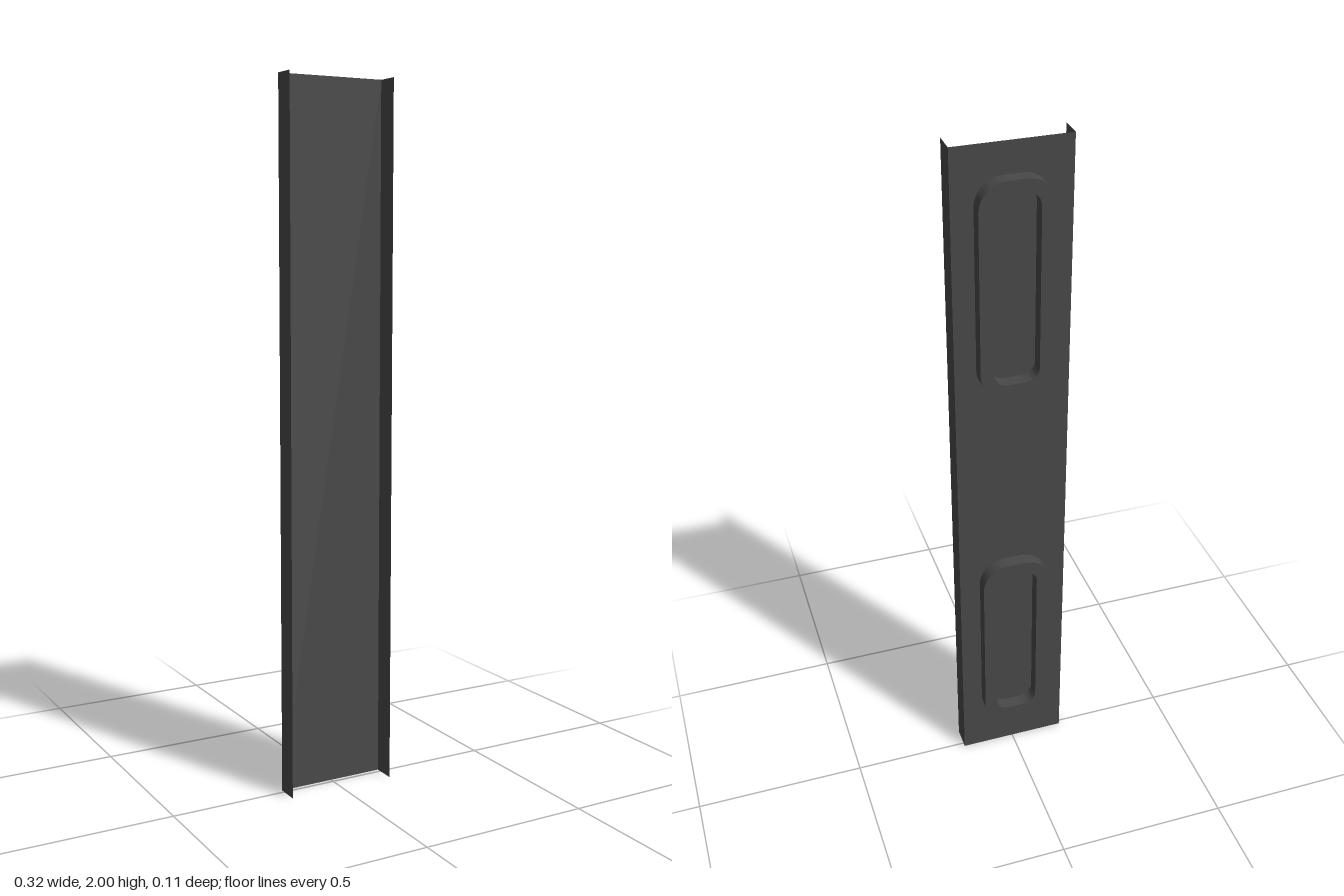
import * as THREE from 'three';
import { toCreasedNormals } from 'three/addons/utils/BufferGeometryUtils.js';

const HEIGHT = 2, HALF_WIDTH = 0.16, WEB_Z = -0.013, FLANGE_Z = 0.053;

// Rounded rectangle centred on the origin
function roundedRect(Type, w, h, r) {
  const x = w / 2 - r, y = h / 2 - r, p = new Type();
  p.absarc(x, y, r, 0, Math.PI / 2);
  p.absarc(-x, y, r, Math.PI / 2, Math.PI);
  p.absarc(-x, -y, r, Math.PI, Math.PI * 1.5);
  p.absarc(x, -y, r, Math.PI * 1.5, Math.PI * 2);
  p.closePath();
  return p;
}

export function createModel() {
  const group = new THREE.Group();
  group.name = 'channelPanel';
  const darkGrey = new THREE.MeshStandardMaterial({ color: 0x484848, side: THREE.DoubleSide });
  darkGrey.name = 'darkGrey';

  const add = (name, geometry, x, y, z) => {
    const mesh = new THREE.Mesh(geometry, darkGrey);
    mesh.name = name;
    mesh.position.set(x, y, z);
    group.add(mesh);
    return mesh;
  };

  // Thin sheet web
  add('web', new THREE.PlaneGeometry(HALF_WIDTH * 2, HEIGHT), 0, HEIGHT / 2, WEB_Z);

  // Side flanges folded toward the front
  const flange = new THREE.PlaneGeometry(FLANGE_Z - WEB_Z, HEIGHT);
  for (const [name, side] of [['leftFlange', 1], ['rightFlange', -1]]) {
    add(name, flange, side * HALF_WIDTH, HEIGHT / 2, (FLANGE_Z + WEB_Z) / 2).rotation.y = side * Math.PI / 2;
  }

  // Raised rounded frames on the back
  const outline = roundedRect(THREE.Shape, 0.2, 0.605, 0.075);
  outline.holes.push(roundedRect(THREE.Path, 0.125, 0.53, 0.038));
  const frame = toCreasedNormals(
    new THREE.ExtrudeGeometry(outline, { depth: 0.0395, bevelEnabled: false, curveSegments: 10 }), 0.6);
  add('lowerFrame', frame, 0, 0.433, -0.053);
  add('upperFrame', frame, 0, 1.612, -0.053);

  return group;
}
